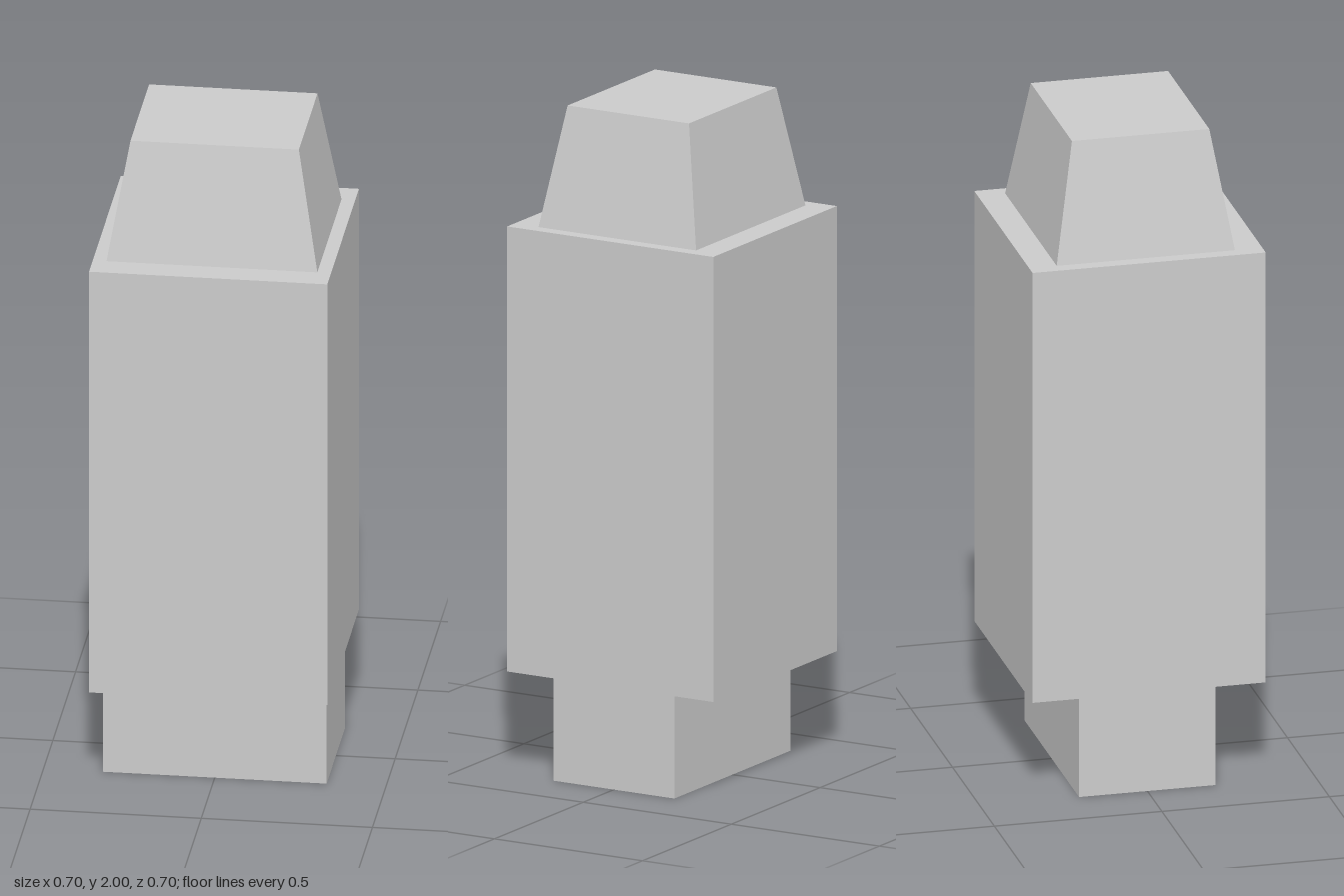
import * as THREE from 'three';

const material = new THREE.MeshStandardMaterial({ color: 0xcccccc, flatShading: true });

// Box standing on y0, with its top face optionally narrowed to topW x topD
function block(name, w, d, y0, y1, topW = w, topD = d) {
  const h = y1 - y0;
  const geometry = new THREE.BoxGeometry(w, h, d);
  const p = geometry.attributes.position;
  for (let i = 0; i < p.count; i++) {
    if (p.getY(i) > 0) {
      p.setX(i, Math.sign(p.getX(i)) * topW / 2);
      p.setZ(i, Math.sign(p.getZ(i)) * topD / 2);
    }
  }
  geometry.computeVertexNormals();
  const mesh = new THREE.Mesh(geometry, material);
  mesh.name = name;
  mesh.position.y = y0 + h / 2;
  return mesh;
}

export function createModel() {
  const model = new THREE.Group();
  model.name = 'steppedPillar';
  model.add(
    block('foot', 0.654, 0.408, 0, 0.312),
    block('body', 0.696, 0.696, 0.312, 1.642),
    block('taperedCap', 0.616, 0.532, 1.642, 2, 0.492, 0.41),
  );
  return model;
}
